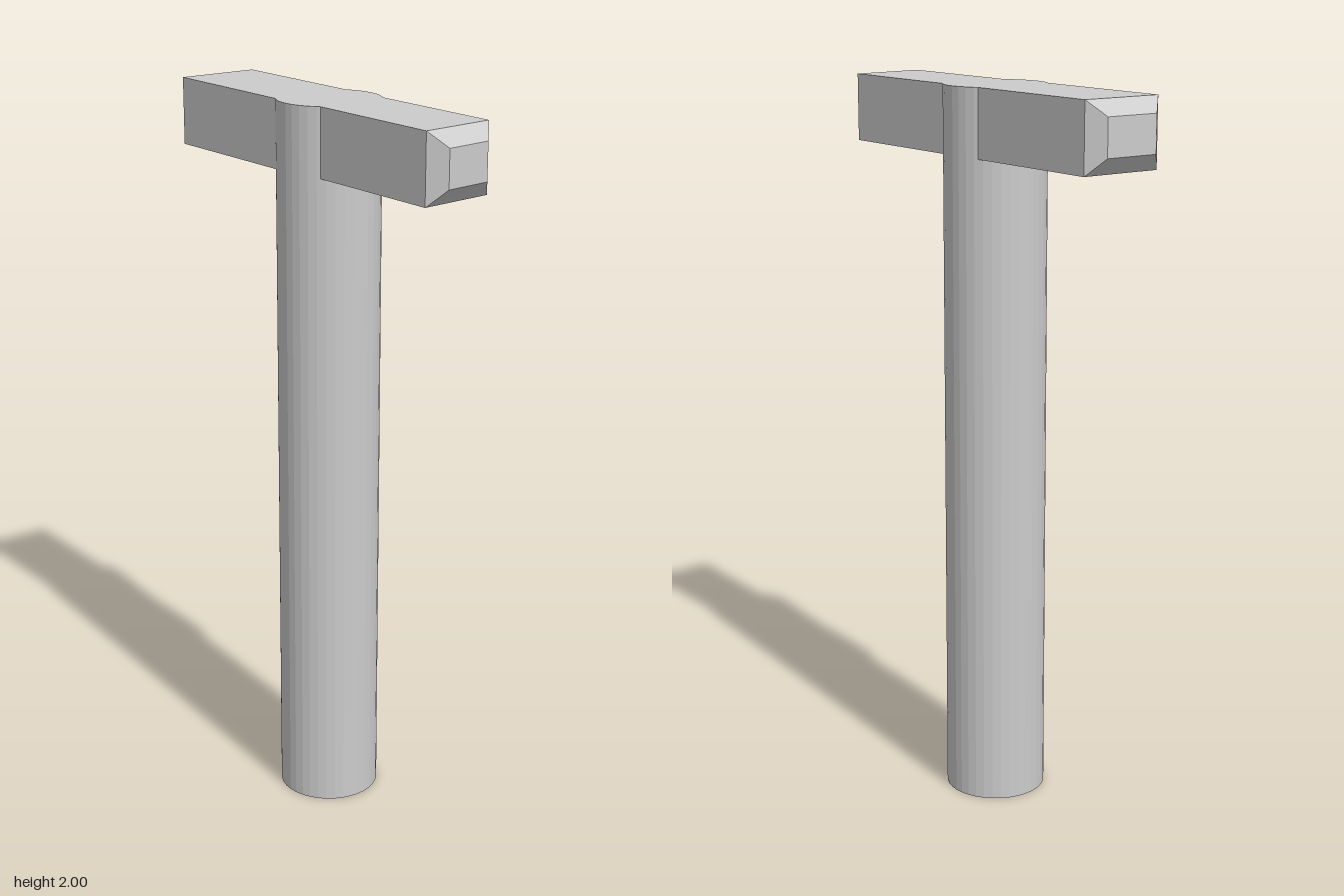
import * as THREE from 'three';

const RADIUS = 0.14, TOP = 2, BOTTOM = 1.815;
const material = new THREE.MeshStandardMaterial({ color: 0xcccccc, flatShading: true });

// Four corners of a bar section, counter-clockwise seen from its tip;
// za and zb are the depths at the xa and xb sides.
const ring = (xa, xb, ya, yb, za, zb) => [
  [xa, ya, za], [xb, ya, zb], [xb, yb, zb], [xa, yb, za],
];

// Bar lofted along +z from the shaft wall to a bevelled, capped tip
function armGeometry({ base, tip, baseZ, tipZ }) {
  const rootZ = (x) => Math.sqrt(RADIUS * RADIUS - x * x) - 0.008;
  const rings = [
    ring(...base, BOTTOM, TOP, rootZ(base[0]), rootZ(base[1])),
    ring(...base, BOTTOM, TOP, ...baseZ),
    ring(...tip, 1.86, 1.96, ...tipZ),
  ];
  const index = [];
  for (let i = 0; i < 2; i++) {
    for (let j = 0; j < 4; j++) {
      const k = (j + 1) % 4;
      const a = i * 4 + j, b = i * 4 + k, c = b + 4, d = a + 4;
      index.push(a, b, c, a, c, d);
    }
  }
  index.push(8, 9, 10, 8, 10, 11);
  const indexed = new THREE.BufferGeometry();
  indexed.setAttribute('position', new THREE.Float32BufferAttribute(rings.flat(2), 3));
  indexed.setIndex(index);
  const geometry = indexed.toNonIndexed();
  geometry.computeVertexNormals();
  return geometry;
}

export function createModel() {
  const model = new THREE.Group();
  model.name = 'hammer';

  const add = (name, geometry) => {
    const mesh = new THREE.Mesh(geometry, material);
    mesh.name = name;
    model.add(mesh);
    return mesh;
  };

  // Round handle running up through the head
  add('handle', new THREE.CylinderGeometry(RADIUS, RADIUS, TOP, 36)).position.y = TOP / 2;

  // Front arm, with a slightly skewed end
  add('frontArm', armGeometry({
    base: [-0.1, 0.115], tip: [-0.06, 0.075], baseZ: [0.515, 0.495], tipZ: [0.555, 0.54],
  }));

  // Back arm, turned half a revolution
  add('backArm', armGeometry({
    base: [-0.115, 0.118], tip: [-0.075, 0.08], baseZ: [0.515, 0.515], tipZ: [0.555, 0.555],
  })).rotation.y = Math.PI;

  return model;
}
